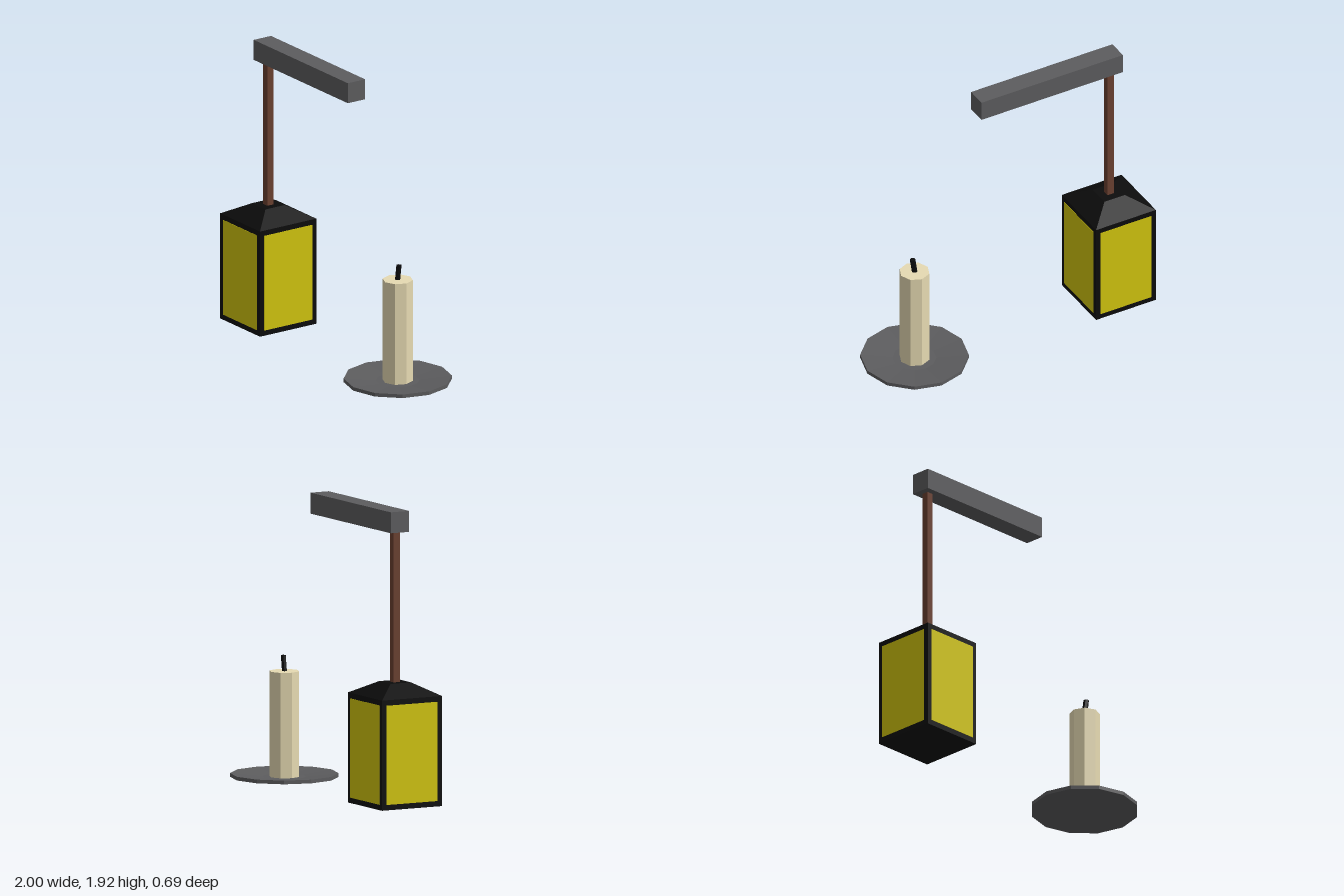
import * as THREE from 'three';

const mat = (color, extra = {}) => new THREE.MeshStandardMaterial({ color, flatShading: true, ...extra });

function add(parent, name, geometry, material, x = 0, y = 0, z = 0) {
  const mesh = new THREE.Mesh(geometry, material);
  mesh.name = name;
  mesh.position.set(x, y, z);
  parent.add(mesh);
  return mesh;
}

export function createModel() {
  const model = new THREE.Group();
  const black = mat(0x0c0c0c);
  const iron = mat(0x5c5c5e);
  const wood = mat(0x6a4030);
  const glass = mat(0xd0c40e);
  const wax = mat(0xe6dab2);

  // Hanging lantern
  const lantern = new THREE.Group();
  lantern.name = 'lantern';
  lantern.position.x = -0.78;
  model.add(lantern);

  const half = 0.22, bottom = 0.03, eaves = 0.74, roofTop = 0.82;
  add(lantern, 'lanternFrame', new THREE.BoxGeometry(half * 2, eaves - bottom, half * 2),
    black, 0, (eaves + bottom) / 2);

  // Roof: four-sided frustum turned square to the frame
  const roof = new THREE.CylinderGeometry(0.075 * Math.SQRT2, half * Math.SQRT2, roofTop - eaves, 4);
  roof.rotateY(Math.PI / 4);
  add(lantern, 'lanternRoof', roof, black, 0, (roofTop + eaves) / 2);

  // One glowing pane on each side
  for (let i = 0; i < 4; i++) {
    const pane = new THREE.BoxGeometry(0.375, 0.64, 0.004);
    pane.translate(0, 0, half);
    add(lantern, 'lanternPane', pane, glass, 0, 0.385).rotation.y = i * Math.PI / 2;
  }

  // Hanger and the beam it hangs from
  add(lantern, 'hanger', new THREE.BoxGeometry(0.047, 0.98, 0.047), wood, 0, 1.305);
  add(model, 'beam', new THREE.BoxGeometry(1.04, 0.135, 0.135), iron, -0.325, 1.857);

  // Candle on a shallow dish
  const candle = new THREE.Group();
  candle.name = 'candleStand';
  candle.position.x = 0.65;
  model.add(candle);

  const dishProfile = [[0, 0.005], [0.15, 0.005], [0.347, 0.032], [0.347, 0.056], [0.14, 0.035], [0, 0.035]]
    .map(([r, y]) => new THREE.Vector2(r, y));
  add(candle, 'dish', new THREE.LatheGeometry(dishProfile, 12), iron);
  add(candle, 'candle', new THREE.CylinderGeometry(0.098, 0.098, 0.685, 8), wax, 0, 0.3725);

  // Wick, sheared so it leans while its tip stays level
  const wick = new THREE.CylinderGeometry(0.018, 0.018, 0.11, 6);
  wick.applyMatrix4(new THREE.Matrix4().makeShear(0, 0, 0.15, 0, 0, 0));
  add(candle, 'wick', wick, black, 0.006, 0.76);

  return model;
}
